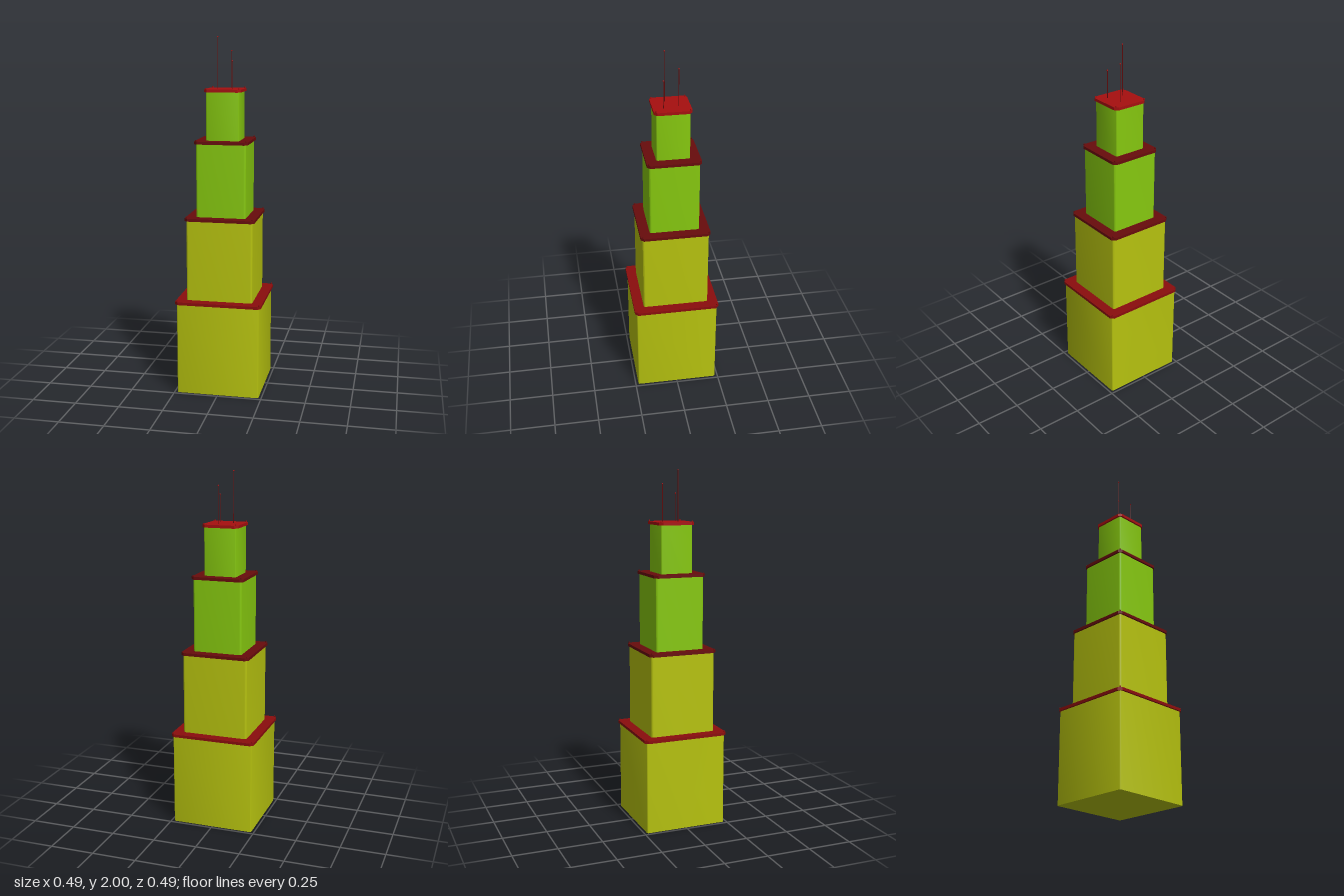
import * as THREE from 'three';
import { toCreasedNormals } from 'three/addons/utils/BufferGeometryUtils.js';

const mat = (name, color) => {
  const m = new THREE.MeshStandardMaterial({ color });
  m.name = name;
  return m;
};

// Square outline with rounded or chamfered corners
function squareShape(half, cut, rounded) {
  const s = new THREE.Shape();
  const h = half, k = half - cut;
  const corner = (cx, cy, x, y) => (rounded ? s.quadraticCurveTo(cx, cy, x, y) : s.lineTo(x, y));
  s.moveTo(-k, -h);
  s.lineTo(k, -h);
  corner(h, -h, h, -k);
  s.lineTo(h, k);
  corner(h, h, k, h);
  s.lineTo(-k, h);
  corner(-h, h, -h, k);
  s.lineTo(-h, -k);
  corner(-h, -h, -k, -h);
  return s;
}

// Upright prism from y0 to y1
function prism(shape, y0, y1) {
  const g = new THREE.ExtrudeGeometry(shape, { depth: y1 - y0, bevelEnabled: false, curveSegments: 4 });
  g.rotateX(-Math.PI / 2);
  g.translate(0, y0, 0);
  return toCreasedNormals(g, 0.6);
}

export function createModel() {
  const model = new THREE.Group();
  model.name = 'steppedTower';

  const yellow = mat('yellowWall', 0xb6c20f);
  const green = mat('greenWall', 0x86c80f);
  const red = mat('red', 0xa60f0f);
  const deepRed = mat('deepRed', 0x8a0d0d);
  const darkRed = mat('darkRed', 0x680c0c);

  const add = (parent, name, geometry, material, x = 0, y = 0, z = 0) => {
    const mesh = new THREE.Mesh(geometry, material);
    mesh.name = name;
    mesh.position.set(x, y, z);
    parent.add(mesh);
  };

  // Tiers: half width, bottom, top of the ledge, wall and ledge colours
  const tiers = [
    [0.234, 0, 0.537, yellow, deepRed],
    [0.187, 0.537, 1.007, yellow, darkRed],
    [0.14, 1.007, 1.431, green, darkRed],
    [0.093, 1.431, 1.713, green, red],
  ];
  const slab = 0.016;
  const stud = new THREE.CylinderGeometry(0.004, 0.004, 0.007, 8);

  tiers.forEach(([half, y0, y1, wall, ledge], i) => {
    const tier = new THREE.Group();
    tier.name = `tier${i + 1}`;
    add(tier, 'walls', prism(squareShape(half, 0.012, true), y0, y1 - slab), wall);
    add(tier, 'ledge', prism(squareShape(half + 0.01, 0.018, false), y1 - slab, y1), ledge);
    // Small corner studs on the ledge
    for (const sx of [-1, 1]) for (const sz of [-1, 1]) {
      add(tier, 'cornerStud', stud, ledge, sx * (half - 0.001), y1 + 0.0035, sz * (half - 0.001));
    }
    model.add(tier);
  });

  // Roof antennas: x, z, tip height
  const roof = 1.713;
  const antennas = [[-0.039, 0.027, 2], [0.027, -0.039, 1.924], [0.046, 0.046, 1.87]];
  for (const [x, z, tip] of antennas) {
    const antenna = new THREE.Group();
    antenna.name = 'antenna';
    const h = tip - roof;
    add(antenna, 'mast', new THREE.CylinderGeometry(0.002, 0.002, h - 0.004, 8), darkRed, x, roof + (h - 0.004) / 2, z);
    add(antenna, 'tip', new THREE.SphereGeometry(0.004, 10, 8), red, x, tip - 0.004, z);
    model.add(antenna);
  }
  return model;
}
